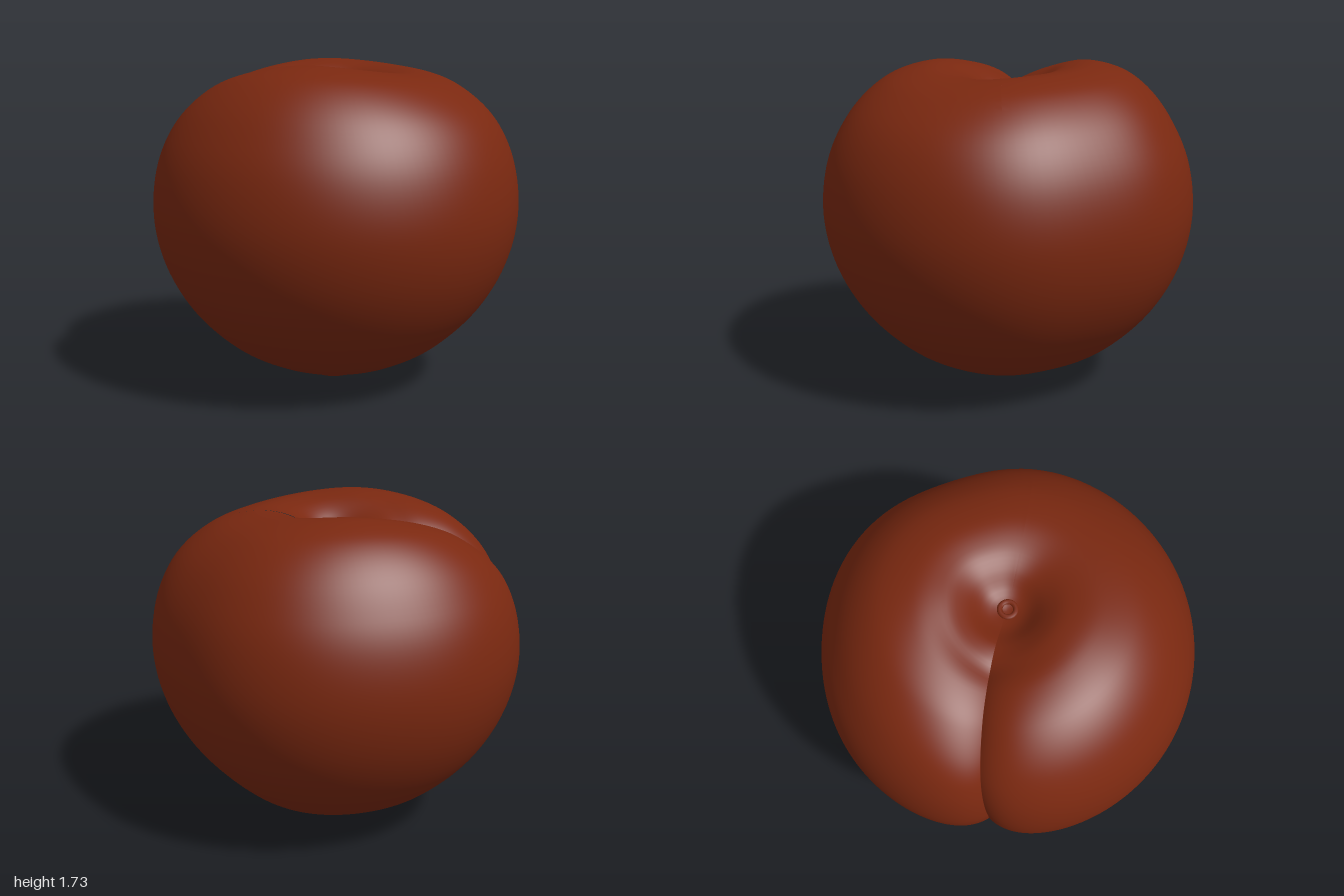
import * as THREE from 'three';
import { mergeVertices } from 'three/addons/utils/BufferGeometryUtils.js';

const DEG = Math.PI / 180;
const smooth = THREE.MathUtils.smoothstep;

// Soft bump around a compass angle (radians), 1 at its centre
function lobe(angle, centre, width) {
  const d = Math.atan2(Math.sin(angle - centre), Math.cos(angle - centre));
  return Math.exp(-((d / width) ** 2));
}

// Half profile [radius, height] from the bottom tip up into the stem dimple
const PROFILE = [
  [0, 0], [0.1, 0.012], [0.2, 0.055], [0.4, 0.12], [0.6, 0.235], [0.8, 0.435],
  [0.935, 0.68], [0.99, 0.95], [0.955, 1.23], [0.84, 1.46], [0.66, 1.62],
  [0.46, 1.69], [0.3, 1.685], [0.19, 1.64], [0.09, 1.56], [0, 1.53],
].map(([r, y]) => new THREE.Vector2(r, y));

function fruitGeometry() {
  const rows = 110, columns = 180;
  const points = new THREE.SplineCurve(PROFILE).getSpacedPoints(rows);
  points[0].x = points[rows].x = 0;
  const geometry = new THREE.LatheGeometry(points, columns);
  const position = geometry.attributes.position;
  const normal = geometry.attributes.normal;
  // The first column lies in the yz plane, so z holds the radial part of the normal
  const normals = points.map((p, j) => [normal.getZ(j), normal.getY(j)]);

  for (let i = 0; i < position.count; i++) {
    const column = Math.floor(i / (rows + 1)), j = i % (rows + 1), t = j / rows;
    const { x: r0, y: y0 } = points[j];
    const [nr, ny] = normals[j];

    // Columns crowd together at the cleft, which curls round at the bottom
    const s = (column / columns) * 2 - 1;
    const u = Math.PI * Math.sign(s) * Math.abs(s) ** 1.7;
    const cleft = 148 + 20 * Math.max(0, t - 0.5) - 88 * Math.exp(-((t / 0.13) ** 2));
    const angle = cleft * DEG - u;

    // Cleft: pushed in along the normal, steep on the front side
    const top = smooth(y0, 1.35, 1.65);
    const width = u > 0 ? 0.13 : 0.14 + 0.08 * top;
    const depth = (0.1 + 0.03 * top) * smooth(r0, 0.03, 0.35) * smooth(t, 0.05, 0.4);
    const press = depth * Math.exp(-Math.abs(u) * r0 / width);

    // Uneven girth, and shoulders of different heights
    const girth = 1.005 - 0.045 * lobe(angle, -58 * DEG, 0.4) - 0.015 * lobe(angle, -130 * DEG, 0.4);
    const rim = top * smooth(r0, 0.05, 0.3);
    const lift = rim * (0.045 * lobe(angle, -130 * DEG, 0.9) + 0.03 * lobe(angle, 85 * DEG, 0.7)
      - 0.02 * lobe(angle, 0, 0.6));

    const r = Math.max(0, r0 * girth - nr * press);
    position.setXYZ(i, r * Math.cos(angle), Math.max(0, y0 + lift - ny * press), r * Math.sin(angle));
  }

  // Weld the closing column and poles for continuous smooth shading
  geometry.deleteAttribute('normal');
  geometry.deleteAttribute('uv');
  const welded = mergeVertices(geometry, 1e-5);
  welded.computeVertexNormals();
  return welded;
}

export function createModel() {
  const model = new THREE.Group();
  model.name = 'peach';
  const skin = new THREE.MeshStandardMaterial({ color: 0x7a2810 });
  skin.name = 'russet skin';

  const fruit = new THREE.Mesh(fruitGeometry(), skin);
  fruit.name = 'fruit';
  model.add(fruit);

  // Small raised ring where the stem was
  const scar = new THREE.Mesh(new THREE.TorusGeometry(0.04, 0.014, 8, 24), skin);
  scar.name = 'stemScar';
  scar.rotation.x = Math.PI / 2;
  scar.position.set(0.01, 1.542, 0);
  model.add(scar);

  return model;
}
